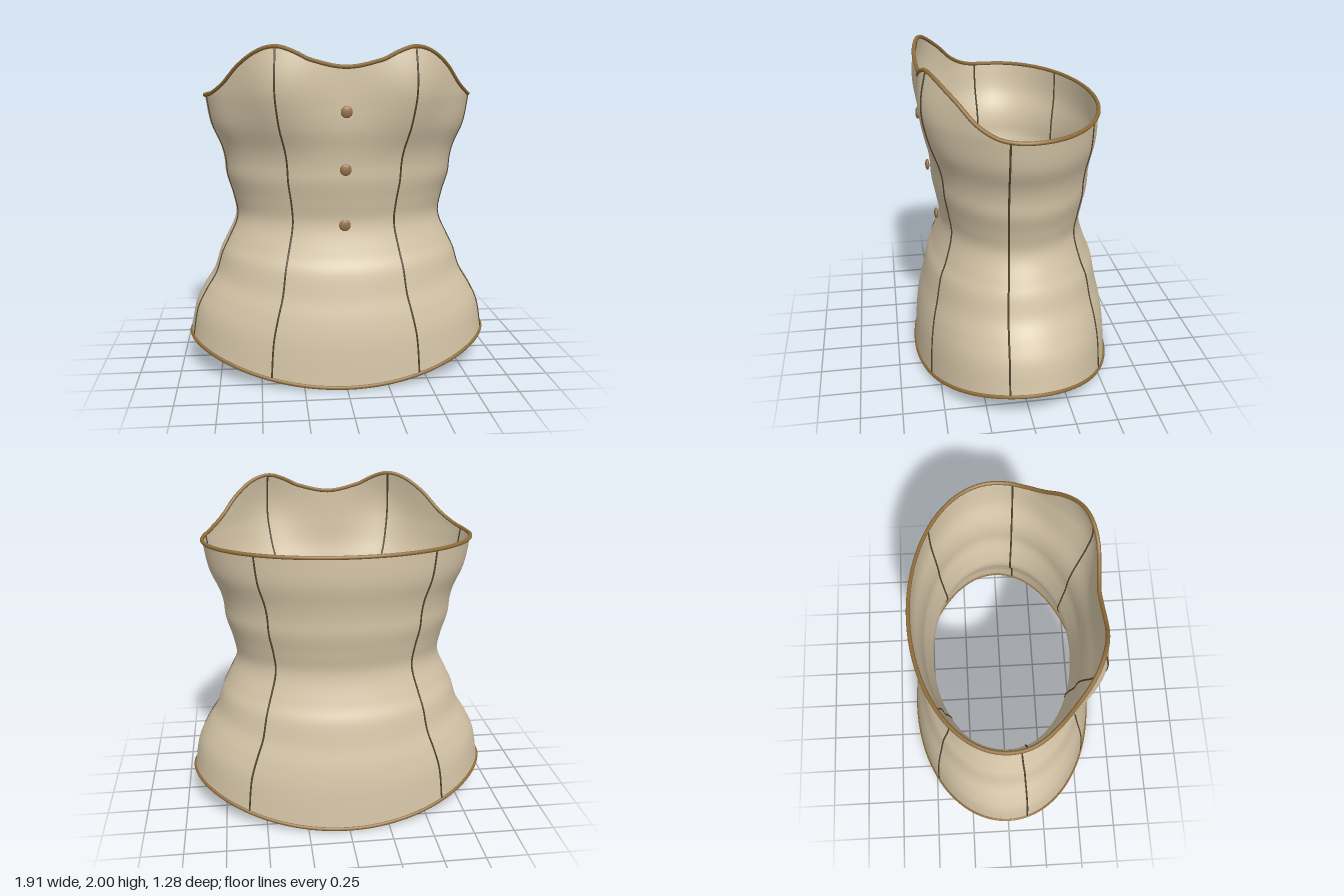
import * as THREE from 'three';

// Rows: height, half width, half depth of the torso
const PROFILE = [
  [0.19, 0.945, 0.627], [0.38, 0.91, 0.612], [0.5, 0.85, 0.59], [0.6, 0.788, 0.56],
  [0.73, 0.745, 0.527], [0.8, 0.71, 0.49], [0.95, 0.645, 0.44], [1.08, 0.662, 0.456],
  [1.21, 0.70, 0.48], [1.31, 0.71, 0.485], [1.39, 0.73, 0.495], [1.525, 0.788, 0.52],
  [1.7, 0.82, 0.525],
];
// Rows: angle from the front in degrees, height of the neckline
const NECKLINE = [
  [-14, 1.915], [0, 1.875], [14, 1.915], [21, 1.963], [28, 1.988], [36, 1.963], [47, 1.88],
  [58, 1.775], [70, 1.715], [82, 1.697], [95, 1.695], [180, 1.695],
];
const WAIST = 0.95;

// Smooth interpolation of one column of a table
function sample(table, x, col) {
  const n = table.length - 1;
  x = THREE.MathUtils.clamp(x, table[0][0], table[n][0]);
  let i = 0;
  while (i < n - 1 && x > table[i + 1][0]) i++;
  const slope = (k) => {
    const a = table[Math.max(k - 1, 0)], b = table[Math.min(k + 1, n)];
    return (b[col] - a[col]) / (b[0] - a[0]);
  };
  const w = table[i + 1][0] - table[i][0], t = (x - table[i][0]) / w;
  const t2 = t * t, t3 = t2 * t;
  return (2 * t3 - 3 * t2 + 1) * table[i][col] + (t3 - 2 * t2 + t) * w * slope(i)
    + (3 * t2 - 2 * t3) * table[i + 1][col] + (t3 - t2) * w * slope(i + 1);
}

// Point on the garment: a = angle from the front towards +x, v = 0 hem, 0.5 waist, 1 neckline
function surfacePoint(a, v) {
  a = Math.atan2(Math.sin(a), Math.cos(a));
  const hem = 0.012 + 0.178 * Math.sin(a) ** 2;
  const top = sample(NECKLINE, THREE.MathUtils.radToDeg(Math.abs(a)), 1);
  let y, h;
  if (v < 0.5) {
    y = THREE.MathUtils.lerp(hem, WAIST, v * 2);
    h = THREE.MathUtils.lerp(0.19, WAIST, v * 2);
  } else {
    y = h = THREE.MathUtils.lerp(WAIST, top, v * 2 - 1);
  }
  // Two soft bust cups
  const cup = Math.exp(-(((Math.abs(a) - 0.48) / 0.3) ** 2)) * Math.exp(-(((y - 1.78) / 0.28) ** 2));
  return new THREE.Vector3(
    sample(PROFILE, h, 1) * Math.sin(a) * (1 + 0.05 * cup),
    y,
    sample(PROFILE, h, 2) * Math.cos(a) + 0.08 * cup,
  );
}

function bodyGeometry(cols, rows) {
  const positions = [], index = [];
  for (let j = 0; j <= rows; j++) {
    for (let i = 0; i < cols; i++) {
      positions.push(...surfacePoint((i / cols) * Math.PI * 2, j / rows).toArray());
      if (j === rows) continue;
      const a = j * cols + i, b = j * cols + ((i + 1) % cols);
      index.push(a, b, b + cols, a, b + cols, a + cols);
    }
  }
  const geo = new THREE.BufferGeometry();
  geo.setAttribute('position', new THREE.Float32BufferAttribute(positions, 3));
  geo.setIndex(index);
  geo.computeVertexNormals();
  return geo;
}

export function createModel() {
  const group = new THREE.Group();
  const cloth = new THREE.MeshStandardMaterial({ color: 0xd6c6a8, side: THREE.DoubleSide });
  const trim = new THREE.MeshStandardMaterial({ color: 0x8f6d3a });
  const thread = new THREE.MeshStandardMaterial({ color: 0x51452f });
  const brass = new THREE.MeshStandardMaterial({ color: 0x94704a });

  const add = (name, geometry, material) => {
    const mesh = new THREE.Mesh(geometry, material);
    mesh.name = name;
    group.add(mesh);
    return mesh;
  };

  add('corsetBody', bodyGeometry(144, 72), cloth);

  // Piping along the neckline and the hem
  for (const [name, v] of [['necklineTrim', 1], ['hemTrim', 0]]) {
    const pts = Array.from({ length: 96 }, (_, i) => surfacePoint((i / 96) * Math.PI * 2, v));
    add(name, new THREE.TubeGeometry(new THREE.CatmullRomCurve3(pts, true), 240, 0.012, 8, true), trim);
  }

  // Mirrored panel seams: front, side and back
  for (const [name, deg] of [['frontSeam', 28], ['sideSeam', 78], ['backSeam', 140]]) {
    for (const side of [1, -1]) {
      const a = THREE.MathUtils.degToRad(deg) * side;
      const pts = Array.from({ length: 41 }, (_, i) => surfacePoint(a, i / 40));
      add(name + (side > 0 ? 'Left' : 'Right'),
        new THREE.TubeGeometry(new THREE.CatmullRomCurve3(pts), 100, 0.006, 6), thread);
    }
  }

  // Flattened buttons down the front
  [[1.625, 0.547], [1.29, 0.502], [0.955, 0.46]].forEach(([y, z], i) => {
    const button = add('button' + (i + 1), new THREE.SphereGeometry(0.034, 24, 16), brass);
    button.scale.z = 0.38;
    button.position.set(0, y, z);
  });

  return group;
}
